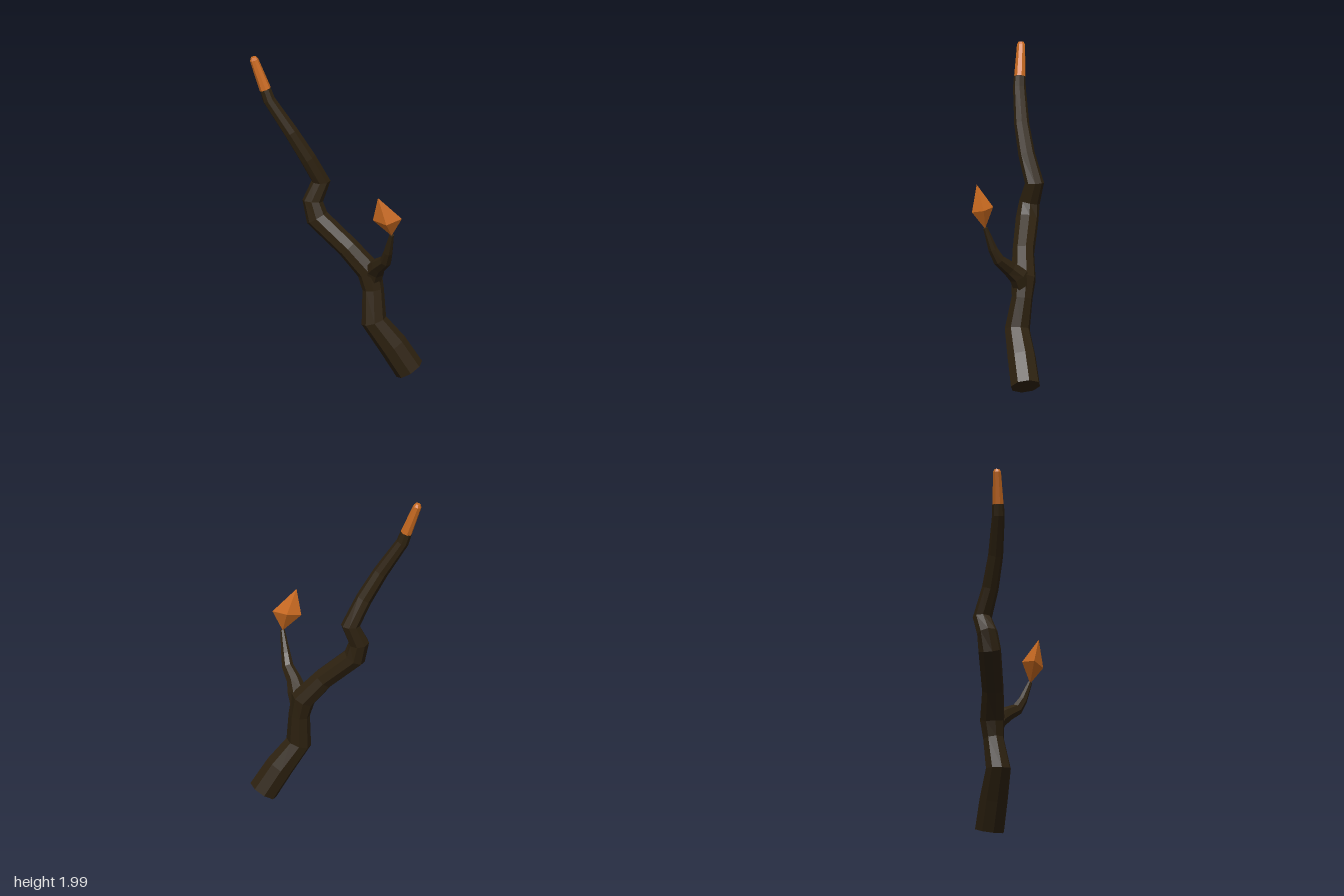
import * as THREE from 'three';

const bark = new THREE.MeshStandardMaterial({ color: 0x2e2210 });
bark.name = 'dark bark';
const amber = new THREE.MeshStandardMaterial({ color: 0xc96a20 });
amber.name = 'amber orange';

// Faceted mesh from triangles given as corner points
function facetMesh(name, corners, material) {
  const g = new THREE.BufferGeometry().setFromPoints(corners);
  g.computeVertexNormals();
  const mesh = new THREE.Mesh(g, material);
  mesh.name = name;
  return mesh;
}

// Capped limb swept through stations [x, y, z, radius]
function limb(name, stations, sides, material) {
  const pts = stations.map(s => new THREE.Vector3(s[0], s[1], s[2]));
  const last = pts.length - 1;
  const ref = new THREE.Vector3(1, 0, 0.2);
  const rings = pts.map((p, i) => {
    const t = new THREE.Vector3();
    if (i > 0) t.add(p.clone().sub(pts[i - 1]).normalize());
    if (i < last) t.add(pts[i + 1].clone().sub(p).normalize());
    t.normalize();
    // carry the side direction along the limb so it does not twist
    const u = ref.addScaledVector(t, -ref.dot(t)).normalize().clone();
    const v = u.clone().cross(t);
    return Array.from({ length: sides }, (_, k) => {
      const a = (k + 0.5) / sides * Math.PI * 2, r = stations[i][3];
      return p.clone().addScaledVector(u, Math.cos(a) * r).addScaledVector(v, Math.sin(a) * r);
    });
  });
  const tri = [];
  for (let k = 0; k < sides; k++) {
    const n = (k + 1) % sides;
    for (let i = 0; i < last; i++) {
      const a = rings[i][k], b = rings[i][n], c = rings[i + 1][n], d = rings[i + 1][k];
      tri.push(a, d, c, a, c, b);
    }
    tri.push(pts[0], rings[0][k], rings[0][n]);
    tri.push(pts[last], rings[last][n], rings[last][k]);
  }
  return facetMesh(name, tri, material);
}

export function createModel() {
  const model = new THREE.Group();
  model.name = 'crookedStaff';

  // Trunk and long crooked branch
  model.add(limb('trunkAndMainBranch', [
    [0.31, 0.056, -0.25, 0.09],
    [0.245, 0.215, -0.175, 0.087],
    [0.172, 0.37, -0.09, 0.077],
    [0.147, 0.56, -0.108, 0.064],
    [0.122, 0.67, -0.1, 0.075],
    [0.02, 0.81, -0.025, 0.066],
    [-0.15, 0.98, 0.07, 0.069],
    [-0.182, 1.08, 0.075, 0.062],
    [-0.163, 1.2, 0.025, 0.057],
    [-0.195, 1.36, 0.105, 0.05],
    [-0.255, 1.53, 0.185, 0.045],
    [-0.352, 1.73, 0.272, 0.038],
    [-0.372, 1.795, 0.284, 0.035],
  ], 8, bark));

  // Coloured end of the long branch
  model.add(limb('branchTip', [
    [-0.372, 1.795, 0.284, 0.035],
    [-0.433, 1.975, 0.318, 0.026],
    [-0.436, 1.992, 0.321, 0.016],
  ], 8, amber));

  // Thin side branch holding the crystal
  model.add(limb('sideBranch', [
    [0.135, 0.6, -0.11, 0.055],
    [0.175, 0.695, -0.1, 0.06],
    [0.23, 0.742, -0.075, 0.046],
    [0.312, 0.8, -0.055, 0.036],
    [0.35, 0.87, -0.038, 0.028],
    [0.4, 1.0, -0.02, 0.014],
  ], 7, bark));

  // Skewed four-sided crystal
  const top = new THREE.Vector3(0.37, 1.25, 0.065);
  const bottom = new THREE.Vector3(0.4, 0.995, -0.018);
  const waist = [
    [0.325, 1.095, 0.064], [0.432, 1.09, 0.055],
    [0.456, 1.11, -0.05], [0.342, 1.12, -0.036],
  ].map(p => new THREE.Vector3(...p));
  const faces = [];
  waist.forEach((p, i) => {
    const q = waist[(i + 1) % 4];
    faces.push(top, p, q, bottom, q, p);
  });
  model.add(facetMesh('crystal', faces, amber));

  return model;
}
